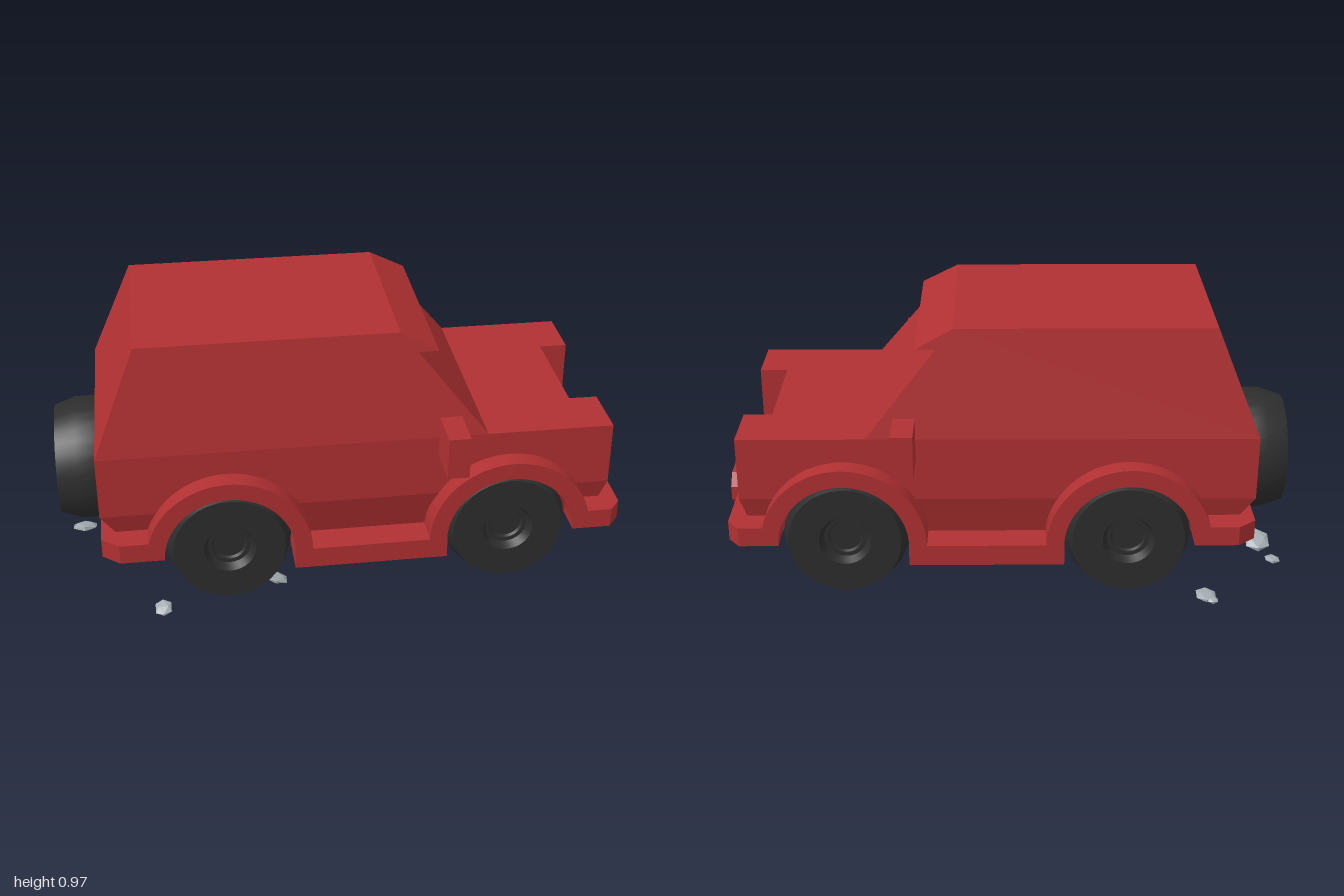
import * as THREE from 'three';
import { toCreasedNormals } from 'three/addons/utils/BufferGeometryUtils.js';

export function createModel() {
  const car = new THREE.Group();
  car.name = 'offRoadCar';
  const material = (name, color) => {
    const m = new THREE.MeshStandardMaterial({ color });
    m.name = name;
    return m;
  };
  const red = material('red paint', 0xb03032);
  const rubber = material('black rubber', 0x2d2d2d);
  const stone = material('grey stone', 0xa3abb0);

  const add = (name, geometry, mat, x = 0, y = 0, z = 0) => {
    const mesh = new THREE.Mesh(geometry, mat);
    mesh.name = name;
    mesh.position.set(x, y, z);
    car.add(mesh);
    return mesh;
  };
  // Box given by its limits
  const block = (name, x0, x1, y0, y1, z0, z1) =>
    add(name, new THREE.BoxGeometry(x1 - x0, y1 - y0, z1 - z0), red,
      (x0 + x1) / 2, (y0 + y1) / 2, (z0 + z1) / 2);
  const polygon = (points) => new THREE.Shape(points.map(([x, y]) => new THREE.Vector2(x, y)));
  const extrude = (shape, depth) =>
    new THREE.ExtrudeGeometry(shape, { depth, bevelEnabled: false, curveSegments: 20 });

  // Side profile extruded across the car, its half width running from w0 at y0 to w1 at y1
  const band = (name, points, y0, w0, y1, w1) => {
    const g = extrude(polygon(points), 1);
    const p = g.attributes.position;
    for (let i = 0; i < p.count; i++) {
      const w = w0 + (w1 - w0) * (p.getY(i) - y0) / (y1 - y0);
      p.setZ(i, p.getZ(i) > 0.5 ? w : -w);
    }
    g.computeVertexNormals();
    add(name, g, red);
  };

  // Bodywork
  band('lowerBody', [[-0.76, 0.235], [0.88, 0.235], [0.92, 0.38], [-0.855, 0.38]],
    0.235, 0.37, 0.38, 0.41);
  band('middleBody', [[-0.855, 0.38], [0.85, 0.38], [0.82, 0.605], [-0.855, 0.605]],
    0.38, 0.41, 0.605, 0.41);
  band('cabin', [[-0.855, 0.605], [0.48, 0.605], [0.24, 0.905], [0.31, 0.905],
    [0.18, 0.975], [-0.705, 0.975]], 0.605, 0.41, 0.975, 0.335);
  block('chassis', -0.64, 0.785, 0.16, 0.25, -0.3, 0.3);
  block('sill', -0.197, 0.337, 0.16, 0.235, -0.48, 0.48);

  // Bumpers with cut corners, drawn in plan and laid flat
  const bumper = (name, inner, outer, cut) => {
    const g = extrude(polygon([[inner, -0.48], [outer - cut, -0.48], [outer, -0.43],
      [outer, 0.43], [outer - cut, 0.48], [inner, 0.48]]), 0.07);
    g.rotateX(-Math.PI / 2);
    add(name, g, red, 0, 0.235, 0);
  };
  bumper('frontBumper', 0.787, 0.96, 0.04);
  bumper('rearBumper', -0.647, -0.855, -0.06);

  // Winch plate on the front bumper
  const winch = extrude(polygon([[-0.13, -0.025], [-0.09, -0.065], [0.09, -0.065], [0.13, -0.025],
    [0.13, 0.025], [0.09, 0.065], [-0.09, 0.065], [-0.13, 0.025]]), 0.045);
  winch.rotateY(Math.PI / 2);
  add('winchPlate', winch, red, 0.955, 0.26, 0);

  // Wheel turned around y, outer face at the top with a sunken hub
  const wheel = toCreasedNormals(new THREE.LatheGeometry([
    [0, 0], [0.19, 0], [0.22, 0.075], [0.22, 0.18], [0.195, 0.255], [0.09, 0.255],
    [0.075, 0.225], [0.06, 0.225], [0.055, 0.215], [0, 0.215],
  ].map(([r, h]) => new THREE.Vector2(r, h)), 32), 0.5);

  // Wheel arch: half ring
  const arch = new THREE.Shape();
  arch.absarc(0, 0, 0.285, 0, Math.PI, false);
  arch.absarc(0, 0, 0.224, Math.PI, 0, true);
  const archGeometry = toCreasedNormals(extrude(arch, 0.12), 0.5);

  for (const side of [1, -1]) {
    const sideName = side > 0 ? 'left' : 'right';
    for (const [axle, x] of [['Rear', -0.42], ['Front', 0.56]]) {
      add(sideName + axle + 'Wheel', wheel, rubber, x, 0.235, side * 0.19)
        .rotation.x = side * Math.PI / 2;
      add(sideName + axle + 'Arch', archGeometry, red, x, 0.235, side > 0 ? 0.36 : -0.48);
    }
    // Nose blocks beside the sunken grille, and mirrors
    const span = (a, b) => (side > 0 ? [a, b] : [-b, -a]);
    block(sideName + 'NoseBlock', 0.81, 0.92, 0.38, 0.605, ...span(0.203, 0.41));
    block(sideName + 'Mirror', 0.31, 0.385, 0.53, 0.68, ...span(0.405, 0.558));
  }
  add('spareWheel', wheel, rubber, -0.745, 0.382, 0).rotation.z = Math.PI / 2;

  // Loose stones: x, y, z, half sizes, tilt about x, tilt about z
  const stones = [
    [-0.935, 0.03, -0.075, 0.05, 0.016, 0.058, -0.35, 0],
    [-0.96, 0.055, -0.26, 0.03, 0.01, 0.03, 0, 0.1],
    [-0.85, 0.055, 0.125, 0.025, 0.008, 0.022, -0.3, -0.2],
    [-0.69, 0.05, -0.5, 0.04, 0.01, 0.038, -0.2, 0.1],
    [-0.71, 0.05, -0.535, 0.02, 0.008, 0.018, -0.2, 0],
    [-0.66, 0.05, 0.5, 0.032, 0.01, 0.034, 0.5, 0.1],
    [-0.255, 0.032, 0.35, 0.05, 0.01, 0.03, 0.2, -0.4],
  ];
  stones.forEach(([x, y, z, a, b, c, tiltX, tiltZ], i) => {
    const g = new THREE.IcosahedronGeometry(1, 0);
    g.scale(a, b, c);
    add('stone' + (i + 1), g, stone, x, y, z).rotation.set(tiltX, 0, tiltZ);
  });

  return car;
}
